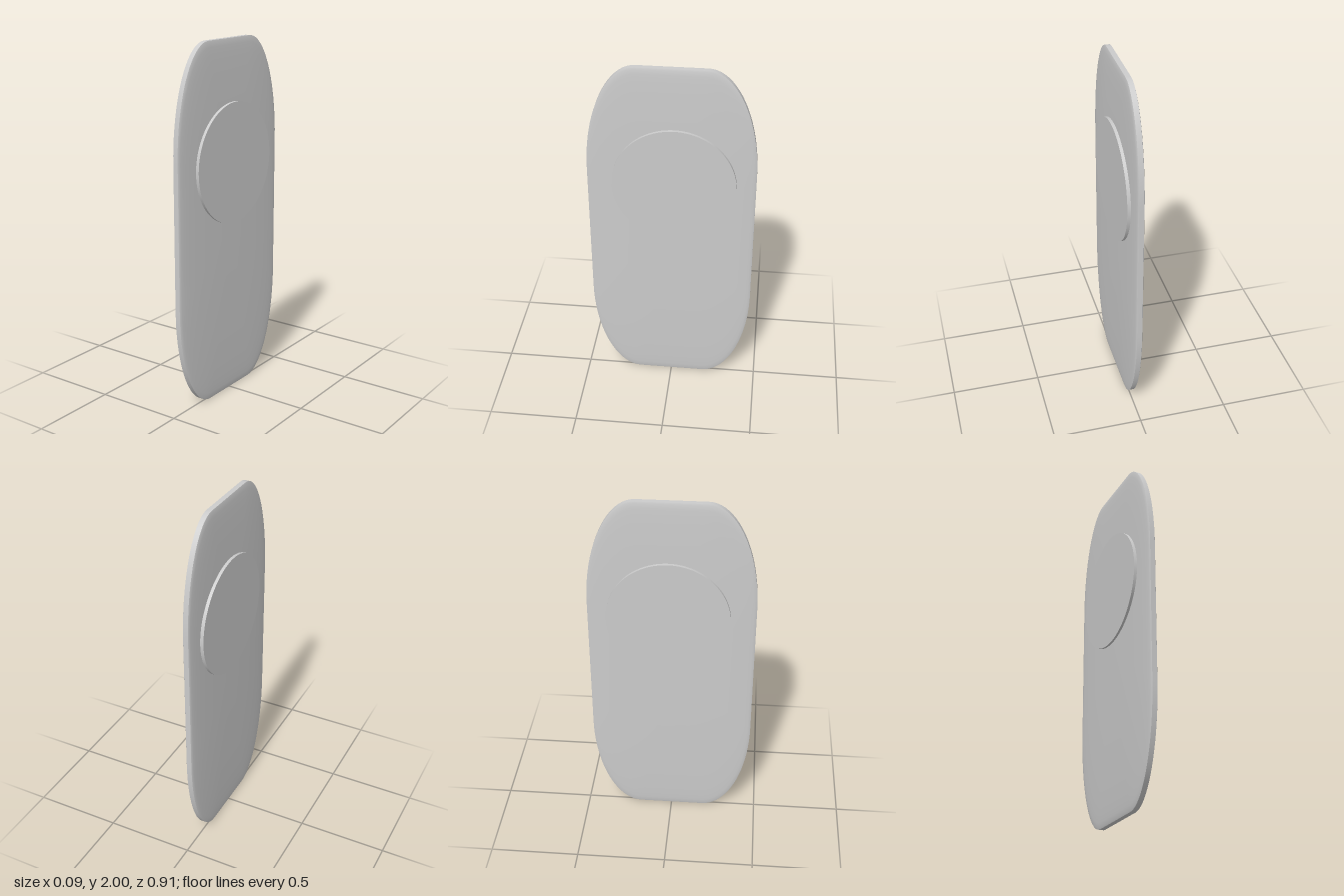
import * as THREE from 'three';
import { toCreasedNormals } from 'three/addons/utils/BufferGeometryUtils.js';

const HALF_Z = 0.453, HALF_Y = 1;        // half size of the plate outline
const CORNER_Z = 0.268, CORNER_Y = 0.6;  // radii of the elliptical corners
const RIM = 0.014, DOME = 0.019;         // half thickness at the rim, extra at the middle

// Outline as (z, y) points, from the top middle round through +z
function plateOutline(steps = 20) {
  const pts = [[0, HALF_Y]];
  for (let q = 0; q < 4; q++) {
    const cz = (q < 2 ? 1 : -1) * (HALF_Z - CORNER_Z);
    const cy = (q === 0 || q === 3 ? 1 : -1) * (HALF_Y - CORNER_Y);
    for (let i = 0; i <= steps; i++) {
      const a = (q + i / steps) * Math.PI / 2;
      pts.push([cz + CORNER_Z * Math.sin(a), cy + CORNER_Y * Math.cos(a)]);
    }
  }
  pts.push([0, HALF_Y]);
  return pts;
}

// A domed lens turned on a lathe, its rings stretched to the plate outline
function plateGeometry() {
  const steps = 12, half = [];
  for (let i = 0; i <= steps; i++) {
    const t = (i / steps) * Math.PI / 2;
    half.push(new THREE.Vector2(i === 0 ? 0 : Math.sin(t), RIM + DOME * Math.cos(t)));
  }
  const profile = [
    ...half.map(p => new THREE.Vector2(p.x, -p.y)),
    ...half.slice().reverse(),
  ];
  const outline = plateOutline();
  const geo = new THREE.LatheGeometry(profile, outline.length - 1);
  const pos = geo.attributes.position;
  outline.forEach(([z, y], i) => profile.forEach((p, j) =>
    pos.setXYZ(i * profile.length + j, p.y, p.x * y, p.x * z)));
  return toCreasedNormals(geo, 0.6);
}

export function createModel() {
  const group = new THREE.Group();
  const grey = new THREE.MeshStandardMaterial({ color: 0xcccccc });

  // Domed plate
  const plate = new THREE.Mesh(plateGeometry(), grey);
  plate.name = 'plate';
  plate.position.y = 1;
  group.add(plate);

  // Round boss passing through both faces
  const disc = new THREE.Mesh(new THREE.CylinderGeometry(0.334, 0.334, 0.09, 96), grey);
  disc.name = 'disc';
  disc.rotation.z = Math.PI / 2;
  disc.position.set(0, 1.33, -0.016);
  group.add(disc);

  return group;
}
